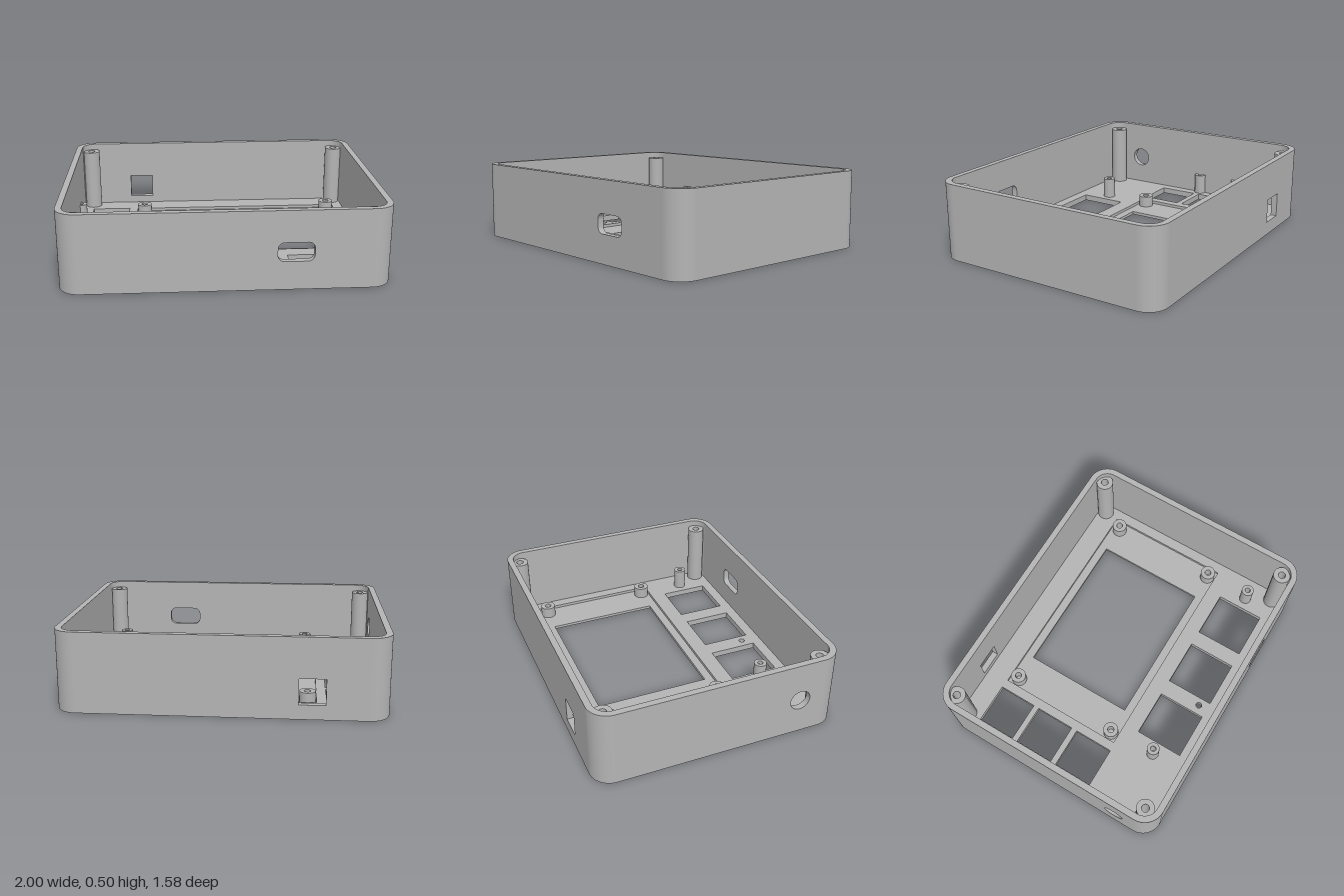
import * as THREE from 'three';
import { toCreasedNormals } from 'three/addons/utils/BufferGeometryUtils.js';

const W = 1, D = 0.79, H = 0.5, R = 0.13, T = 0.04; // half width, half depth, height, corner, wall
const FLOOR = 0.04, RECESS = 0.02;

// Rectangle outline with optional rounded corners
function rect(x0, y0, x1, y1, r = 0, Type = THREE.Path) {
  const s = new Type();
  if (r === 0) {
    s.moveTo(x0, y0).lineTo(x1, y0).lineTo(x1, y1).lineTo(x0, y1).closePath();
    return s;
  }
  s.moveTo(x0 + r, y0);
  s.lineTo(x1 - r, y0).absarc(x1 - r, y0 + r, r, -Math.PI / 2, 0, false);
  s.lineTo(x1, y1 - r).absarc(x1 - r, y1 - r, r, 0, Math.PI / 2, false);
  s.lineTo(x0 + r, y1).absarc(x0 + r, y1 - r, r, Math.PI / 2, Math.PI, false);
  s.lineTo(x0, y0 + r).absarc(x0 + r, y0 + r, r, Math.PI, Math.PI * 1.5, false);
  return s;
}

function circle(x, y, r, Type = THREE.Path) {
  return new Type().absarc(x, y, r, 0, Math.PI * 2, false);
}

function extrude(shape, depth) {
  const g = new THREE.ExtrudeGeometry(shape, { depth, bevelEnabled: false, curveSegments: 20 });
  return toCreasedNormals(g, 0.6);
}

// Plan shape (drawn with y = -z) raised from y0 to y1
function plan(shape, y0, y1) {
  return extrude(shape, y1 - y0).rotateX(-Math.PI / 2).translate(0, y0, 0);
}

export function createModel() {
  const model = new THREE.Group();
  model.name = 'enclosure';
  const grey = new THREE.MeshStandardMaterial({ color: 0xb4b4b4 });
  grey.name = 'grey plastic';
  const add = (name, geometry) => {
    const m = new THREE.Mesh(geometry, grey);
    m.name = name;
    model.add(m);
    return m;
  };

  // Openings in the face plate, given as x0, z0, x1, z1
  const keys = [
    [-0.895, -0.605, -0.63, -0.345], [-0.895, -0.307, -0.63, -0.04], [-0.895, 0, -0.63, 0.265],
    [-0.42, 0.36, -0.11, 0.68], [0, 0.36, 0.315, 0.68], [0.42, 0.36, 0.735, 0.68],
  ];
  const screenWindow = [-0.335, -0.545, 0.65, 0.2];
  const screenRecess = [-0.57, -0.6, 0.89, 0.255];

  function floorLayer(name, opening, y0, y1) {
    const s = rect(-W + T, -D + T, W - T, D - T, R - T, THREE.Shape);
    for (const [x0, z0, x1, z1] of [...keys, opening]) s.holes.push(rect(x0, -z1, x1, -z0));
    s.holes.push(circle(-0.05, -0.62, 0.02));
    add(name, plan(s, y0, y1));
  }
  floorLayer('facePlate', screenWindow, 0, RECESS);
  floorLayer('recessedPlate', screenRecess, RECESS, FLOOR);

  // Straight wall panels, drawn flat as seen from outside
  function wall(name, half, distance, angle, hole) {
    const s = rect(-half + R, 0, half - R, H, 0, THREE.Shape);
    if (hole) s.holes.push(hole);
    const g = extrude(s, T).translate(0, 0, distance - T).rotateY(angle);
    add(name, g);
  }
  wall('frontWall', W, D, 0, rect(0.3, 0.18, 0.52, 0.3, 0.04));
  wall('backWall', W, D, Math.PI, rect(0.46, 0.09, 0.62, 0.25));
  wall('leftWall', D, W, Math.PI / 2);
  wall('rightWall', D, W, -Math.PI / 2, circle(0.515, 0.24, 0.066));

  // Rounded wall corners
  [[1, 1], [-1, 1], [-1, -1], [1, -1]].forEach(([sx, sy], i) => {
    const cx = sx * (W - R), cy = sy * (D - R), a = i * Math.PI / 2;
    const s = new THREE.Shape();
    s.absarc(cx, cy, R, a, a + Math.PI / 2, false);
    s.absarc(cx, cy, R - T, a + Math.PI / 2, a, true);
    s.closePath();
    add('wallCorner', plan(s, 0, H));
  });

  // Hollow screw posts
  function post(name, x, z, r, bore, y0, y1) {
    const s = circle(x, -z, r, THREE.Shape);
    s.holes.push(circle(x, -z, bore));
    add(name, plan(s, y0, y1));
  }
  for (const x of [-0.9, 0.9]) {
    for (const z of [-0.7, 0.685]) post('cornerPost', x, z, 0.057, 0.024, FLOOR, 0.46);
  }
  for (const x of [-0.515, 0.83]) {
    for (const z of [-0.54, 0.2]) post('screenBoss', x, z, 0.05, 0.021, RECESS, 0.095);
  }
  for (const x of [-0.5, 0.815]) post('boardPost', x, 0.517, 0.041, 0.018, FLOOR, 0.18);
  for (const z of [-0.325, -0.02]) post('wallPost', -0.957, z, 0.041, 0.018, FLOOR, 0.18);

  return model;
}
